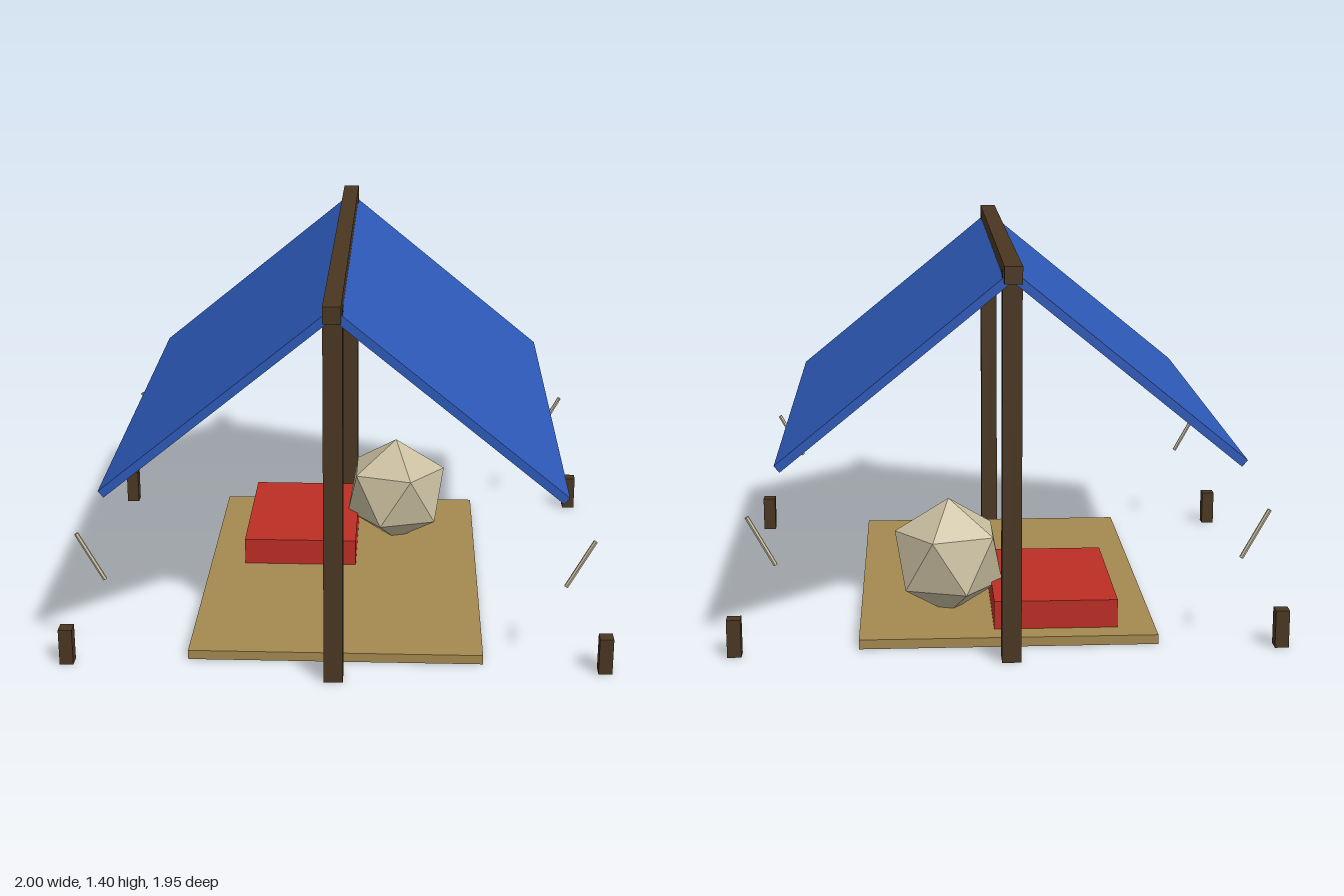
import * as THREE from 'three';
import { ConvexGeometry } from 'three/addons/geometries/ConvexGeometry.js';

const material = (name, color) => {
  const m = new THREE.MeshStandardMaterial({ color, flatShading: true });
  m.name = name;
  return m;
};

export function createModel() {
  const model = new THREE.Group();
  model.name = 'tentShelter';
  const darkWood = material('darkWood', 0x4a3621);
  const canvasBlue = material('canvasBlue', 0x2d59b8);
  const lightWood = material('lightWood', 0xa48850);
  const blanketRed = material('blanketRed', 0xbc2e24);
  const linen = material('linen', 0xc8bd9e);

  const add = (name, geometry, mat, x, y, z) => {
    const mesh = new THREE.Mesh(geometry, mat);
    mesh.name = name;
    mesh.position.set(x, y, z);
    model.add(mesh);
    return mesh;
  };
  const box = (name, mat, w, h, d, x, y, z) =>
    add(name, new THREE.BoxGeometry(w, h, d), mat, x, y, z);

  // Ground board, bedroll and ridge beam
  box('groundBoard', lightWood, 1.076, 0.035, 1.495, 0, 0.0175, 0);
  box('bedroll', blanketRed, 0.45, 0.11, 0.63, -0.175, 0.085, -0.345);
  box('ridgeBeam', darkWood, 0.062, 0.06, 1.945, 0, 1.375, 0);

  // Upright posts
  for (const s of [1, -1]) {
    box(s > 0 ? 'frontPost' : 'backPost', darkWood, 0.068, 1.38, 0.066, 0, 0.69, s * 0.873);
  }

  // Sloping roof sheets, from ridge to eave
  const ridge = new THREE.Vector2(0, 1.364);
  const eave = new THREE.Vector2(0.7985, 0.7115);
  const slope = Math.atan2(ridge.y - eave.y, eave.x);
  for (const s of [1, -1]) {
    const sheet = box(s > 0 ? 'leftRoofSheet' : 'rightRoofSheet', canvasBlue,
      ridge.distanceTo(eave), 0.03, 1.824,
      s * eave.x / 2, (ridge.y + eave.y) / 2, 0);
    sheet.rotation.z = -s * slope;
  }

  // Ground stakes and short guy ropes at the four corners
  for (const sx of [1, -1]) {
    for (const sz of [1, -1]) {
      const corner = (sz > 0 ? 'front' : 'back') + (sx > 0 ? 'Left' : 'Right');
      box(corner + 'Stake', darkWood, 0.05, 0.138, 0.05, sx * 0.975, 0.069, sz * 0.783);
      const rope = add(corner + 'Rope', new THREE.CylinderGeometry(0.008, 0.008, 0.2, 6),
        linen, sx * 0.87, 0.42, sz * 0.783);
      rope.rotation.z = -sx * 0.5;
    }
  }

  // Faceted bundle: two staggered rings of five corners between two poles
  const r = 0.225;
  const corners = [new THREE.Vector3(0, r, 0), new THREE.Vector3(0, -r, 0)];
  for (let i = 0; i < 10; i++) {
    const a = i * Math.PI / 5;
    corners.push(new THREE.Vector3(
      Math.cos(a) * r * 0.894, (i % 2 ? -1 : 1) * r * 0.447, Math.sin(a) * r * 0.894));
  }
  const bundle = add('bundle', new ConvexGeometry(corners), linen, 0.208, 0.228, -0.38);
  bundle.scale.z = 0.93;

  return model;
}
